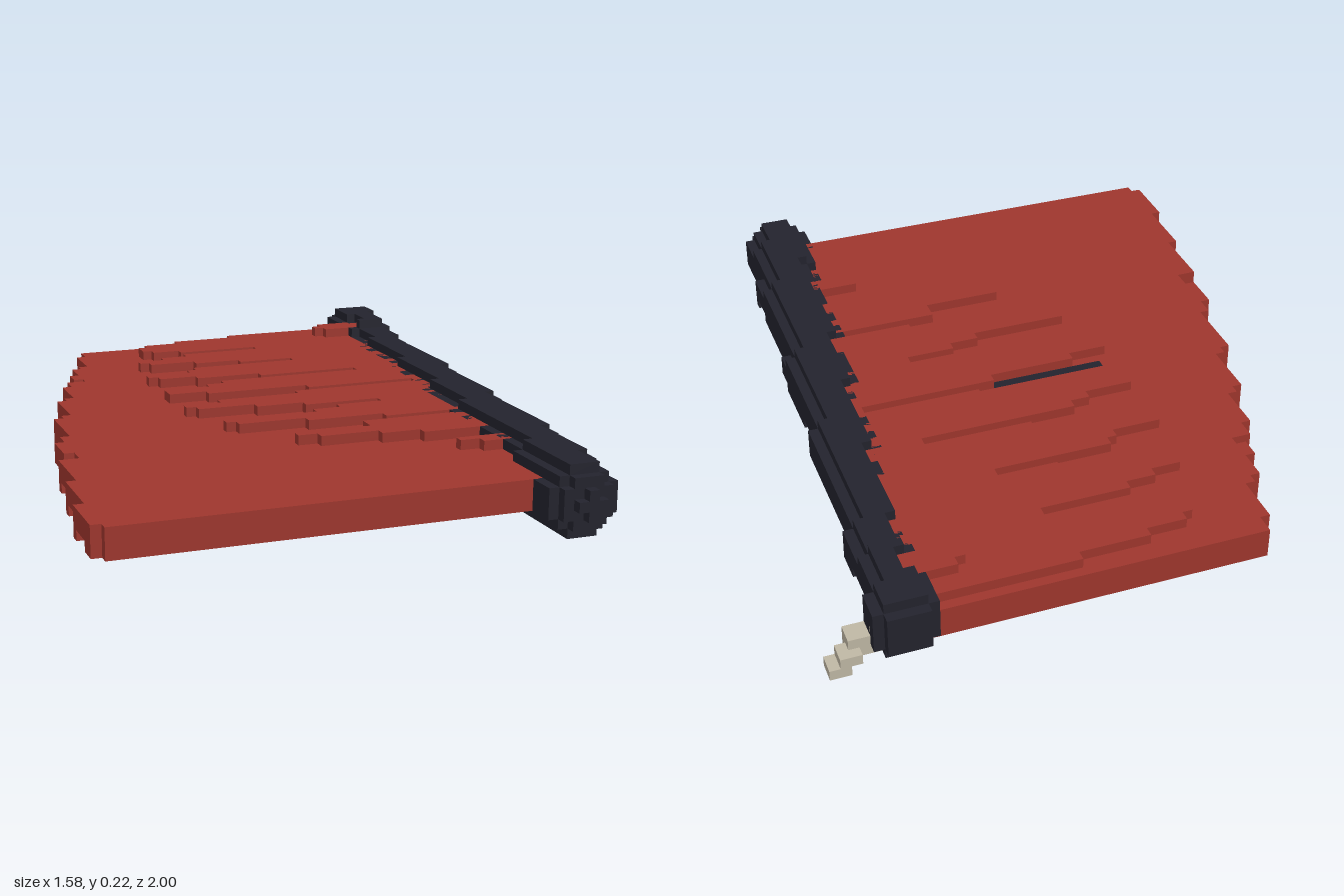
import * as THREE from 'three';
import { mergeGeometries } from 'three/addons/utils/BufferGeometryUtils.js';

const U = 1 / 36; // edge of one block
const snapX = x => (Math.round(x / U + 28.5) - 28.5) * U;

// Block spanning x0..x1 (units), y0..y1 and z rows k0..k1 (block counts)
function block(x0, x1, y0, y1, k0, k1) {
  const a = snapX(x0), b = snapX(x1);
  const g = new THREE.BoxGeometry(b - a, (y1 - y0) * U, (k1 - k0) * U);
  g.translate((a + b) / 2, (y0 + y1) / 2 * U, (k0 + k1) / 2 * U - 1);
  return g;
}

// Step lookup: list of [last z, value]
const step = (list, z) => list.find(([end]) => z < end)[1];

// Ragged free edge of the cloth
const CLOTH_EDGE = [
  [-0.89, -0.376], [-0.75, -0.4], [-0.73, -0.43], [-0.64, -0.46], [-0.59, -0.486],
  [-0.56, -0.46], [-0.5, -0.515], [-0.36, -0.545], [-0.33, -0.57], [-0.17, -0.6],
  [-0.14, -0.63], [0.05, -0.655], [0.11, -0.68], [0.22, -0.71], [0.28, -0.68],
  [0.47, -0.737], [0.67, -0.765], [0.83, -0.792], [2, -0.765],
];
// Where the raised folds begin, row by row from row 3
const FOLDS = [
  0.12, -0.07, -0.18, -0.21, -0.21, -0.18, -0.1,
  0.155, -0.1, -0.18, -0.26, -0.235, -0.1, 0.04,
  0.21, -0.13, -0.16, -0.29, -0.26, -0.15, 0.04,
  0.35, -0.1, -0.15, -0.29, -0.29, -0.18, 0.12,
  0.45, 0.06, -0.18, -0.29, -0.26, -0.1, 0.04,
  0.26, 0.13, 0.05, -0.24, -0.21, -0.02, 0.2,
  0.45, 0.12, 0.12, -0.1, -0.05, 0.12, 0.24,
  0.42, 0.42, 0.42, 0.29, 0.35,
];
// Left and right sides of the pole, and its underside
const POLE_LEFT = [
  [-0.78, 0.54], [-0.62, 0.515], [-0.31, 0.487], [0.01, 0.46], [0.19, 0.432],
  [0.57, 0.404], [0.84, 0.376], [0.94, 0.348], [0.97, 0.376], [2, 0.404],
];
const POLE_RIGHT = [
  [-0.62, 0.654], [-0.17, 0.626], [0.25, 0.6], [0.69, 0.57], [0.94, 0.543], [0.97, 0.515], [2, 0.487],
];
const POLE_BOTTOM = [[-0.69, 3], [0, 2], [0.67, 1], [0.94, 0], [0.97, 1], [2, 2]];
const POLE_TOP = [[-0.75, 8], [0.94, 7], [0.97, 6], [2, 5]];

// Blocky round cross-section, one row deep
function disc(x0, x1, y0, y1, k) {
  const wide = (x1 - x0) / U > 6.5;
  const out = [];
  const layer = (inset, a, b) => out.push(block(x0 + inset * U, x1 - inset * U, a, b, k, k + 1));
  if (wide) {
    layer(2, y0, y0 + 1); layer(1, y0 + 1, y0 + 2); layer(0, y0 + 2, y1 - 2);
    layer(1, y1 - 2, y1 - 1); layer(2, y1 - 1, y1);
  } else {
    layer(1, y0, y0 + 1); layer(0, y0 + 1, y1 - 1); layer(1, y1 - 1, y1);
  }
  return out;
}

export function createModel() {
  const red = new THREE.MeshStandardMaterial({ color: 0x9e362d });
  red.name = 'clothRed';
  const dark = new THREE.MeshStandardMaterial({ color: 0x23232d });
  dark.name = 'poleDark';
  const bone = new THREE.MeshStandardMaterial({ color: 0xbfb7a4 });
  bone.name = 'hookBone';

  const group = new THREE.Group();
  const add = (name, parts, mat) => {
    const mesh = new THREE.Mesh(mergeGeometries(parts), mat);
    mesh.name = name;
    group.add(mesh);
  };

  // Cloth: rippled sheet below, raised folds on top
  const cloth = [], folds = [], slot = [];
  for (let k = 2; k < 67; k++) {
    const z = (k + 0.5) * U - 1;
    const edge = step(CLOTH_EDGE, z);
    const right = k > 4 && k < 12 ? 0.6 : step(POLE_LEFT, z) + 2 * U;
    const phase = (k + 4) % 7;
    const bottom = phase < 2 || phase > 4 ? 2 : 3;
    if (k === 32) {
      cloth.push(block(edge, -0.26, bottom, 5, k, k + 1), block(0.06, right, bottom, 5, k, k + 1));
      slot.push(block(-0.26, 0.06, bottom, 5, k, k + 1));
    } else {
      cloth.push(block(edge, right, bottom, 5, k, k + 1));
    }
    const start = FOLDS[k - 3];
    if (start !== undefined && start < right - U) folds.push(block(start, right, 5, 6, k, k + 1));
  }
  folds.push(block(0.4, 0.56, 6, 7, 6, 7), block(0.43, 0.56, 6, 7, 5, 8));
  add('cloth', cloth, red);
  add('clothFolds', folds, red);
  add('clothSlit', slot, dark);

  // Pole: slightly slanted, thicker towards the front
  const pole = [];
  for (let k = 5; k < 72; k++) {
    const z = (k + 0.5) * U - 1;
    pole.push(...disc(step(POLE_LEFT, z), step(POLE_RIGHT, z), step(POLE_BOTTOM, z), step(POLE_TOP, z), k));
  }
  add('pole', pole, dark);

  // Knob at the back end
  const knob = [block(0.543, 0.654, 3, 7, 0, 1)];
  for (let k = 1; k < 5; k++) knob.push(...disc(0.515, k < 4 ? 0.682 : 0.654, 2, 8, k));
  add('poleKnob', knob, dark);

  // Small stepped hook
  add('hook', [
    block(0.654, 0.682, 3, 5, 2, 4),
    block(0.654, 0.737, 2, 4, 2, 4),
    block(0.71, 0.765, 2, 3, 1, 3),
    block(0.737, 0.792, 1, 2, 1, 3),
  ], bone);

  return group;
}
